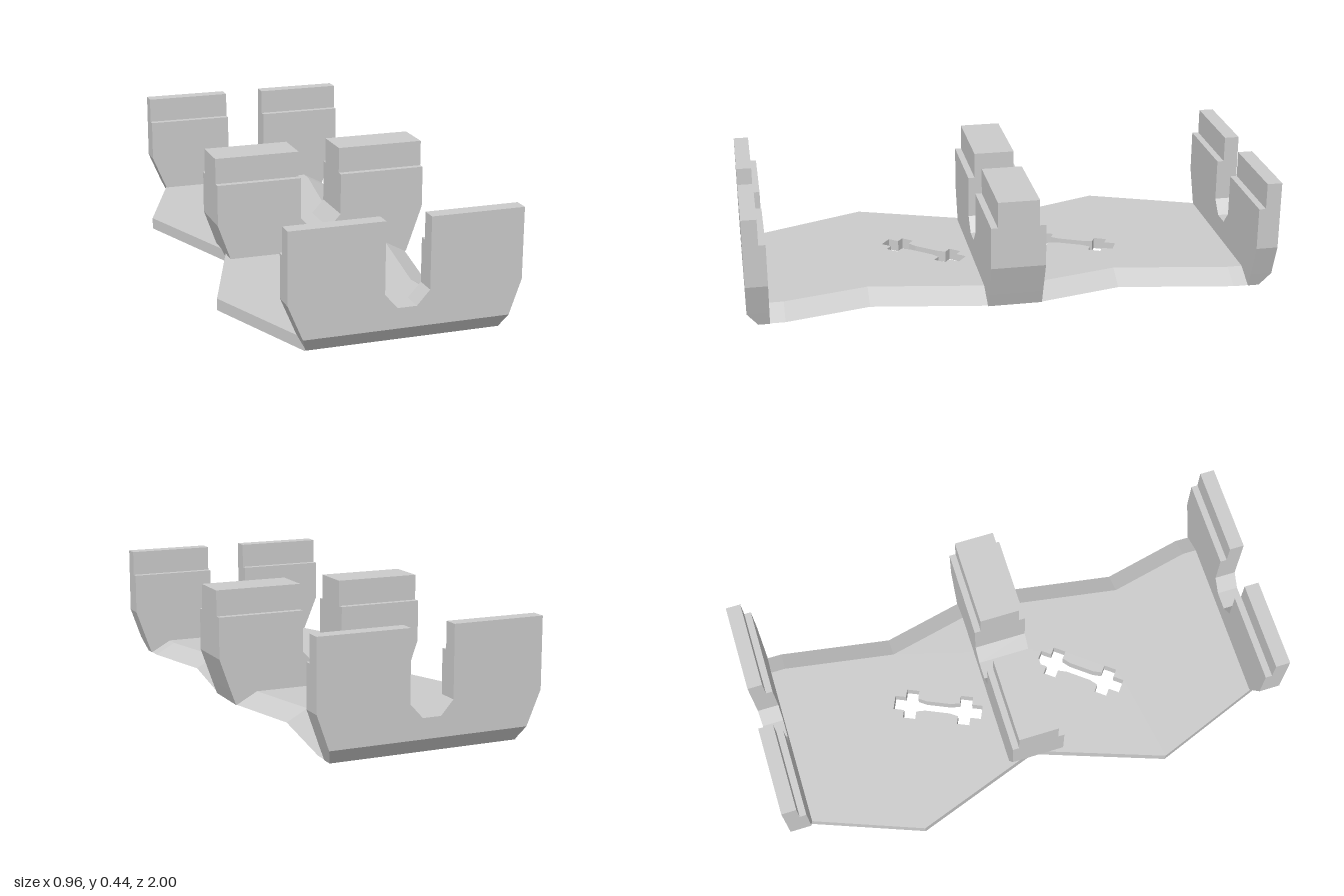
import * as THREE from 'three';

const material = new THREE.MeshStandardMaterial({ color: 0xcccccc, flatShading: true });

function polygon(points) {
  return new THREE.Shape(points.map(([x, y]) => new THREE.Vector2(x, y)));
}

function addMesh(group, name, geometry) {
  const mesh = new THREE.Mesh(geometry, material);
  mesh.name = name;
  group.add(mesh);
  return mesh;
}

// Extrude an x/y outline between two z positions
function slab(points, z0, z1) {
  const geometry = new THREE.ExtrudeGeometry(polygon(points), { depth: z1 - z0, bevelEnabled: false });
  return geometry.translate(0, 0, z0);
}

// Move vertices by a rule and refresh the flat normals
function reshape(geometry, rule) {
  const pos = geometry.attributes.position;
  const v = new THREE.Vector3();
  for (let i = 0; i < pos.count; i++) {
    rule(v.fromBufferAttribute(pos, i));
    pos.setXYZ(i, v.x, v.y, v.z);
  }
  geometry.computeVertexNormals();
  return geometry;
}

// Bone-shaped cutout: a shaft with a crossbar near each end
function boneHole(cx, cz, dx, dz) {
  const side = [[0.028, 0.178], [0.028, 0.135], [0.06, 0.135], [0.06, 0.085], [0.028, 0.085], [0.02, 0.05]];
  const right = [...side, ...side.map(([w, l]) => [w, -l]).reverse()];
  const outline = [...right, ...right.map(([w, l]) => [-w, l]).reverse()];
  const len = Math.hypot(dx, dz);
  const ux = dx / len, uy = -dz / len;
  return new THREE.Path(outline.map(([w, l]) =>
    new THREE.Vector2(cx + ux * l + uy * w, -cz + uy * l - ux * w)));
}

// Base plate with zigzag sides, sloping on the +x side
function basePlate() {
  const outline = [
    [-0.305, 0.96], [0.412, 0.96], [0.412, 0.86], [0.34, 0.54], [0.412, 0.09],
    [0.412, -0.1], [0.34, -0.42], [0.412, -0.86], [0.412, -0.96], [-0.305, -0.96],
    [-0.482, -0.5], [-0.305, 0], [-0.482, 0.5],
  ];
  const shape = polygon(outline.map(([x, z]) => [x, -z]));
  shape.holes.push(boneHole(-0.016, -0.31, 28, -62), boneHole(-0.04, 0.285, 41, -52));
  const geometry = new THREE.ExtrudeGeometry(shape, { depth: 0.045, bevelEnabled: false });
  geometry.rotateX(-Math.PI / 2);
  return reshape(geometry, (v) => {
    if (v.y > 0.02 && v.x > 0.3) v.x -= 0.083;
  });
}

// Notched upright: foot, body and two narrower top blocks.
// body and top are z ranges, foot is the z range at the ground.
function upright(name, left, body, top, foot) {
  const group = new THREE.Group();
  group.name = name;
  const step = 0.345, height = 0.445, footTop = 0.055;
  const footLeft = -0.3 + (left + 0.3) * 0.3, footRight = 0.435;

  const footGeometry = slab([[-0.3, 0], [0.415, 0], [footRight, footTop], [footLeft, footTop]], ...body);
  addMesh(group, 'foot', reshape(footGeometry, (v) => {
    if (v.y < 0.01) v.z = Math.min(Math.max(v.z, foot[0]), foot[1]);
  }));

  addMesh(group, 'notchedBody', slab([
    [footLeft, footTop], [footRight, footTop], [0.48, 0.183], [0.48, step], [0.135, step],
    [0.135, 0.183], [0.087, 0.13], [0.017, 0.13], [-0.03, 0.183], [-0.03, step],
    [left, step], [left, 0.183],
  ], ...body));

  for (const [x0, x1] of [[left, -0.03], [0.135, 0.48]]) {
    const block = slab([[x0, step], [x1, step], [x1, height], [x0, height]], ...body);
    // Slim the block to the top range, leaving a ledge on the body
    addMesh(group, 'topBlock', reshape(block, (v) => {
      v.z = Math.min(Math.max(v.z, top[0]), top[1]);
    }));
  }
  return group;
}

export function createModel() {
  const model = new THREE.Group();
  model.name = 'cradle';
  addMesh(model, 'basePlate', basePlate());
  model.add(
    upright('frontUpright', -0.377, [0.917, 1], [0.943, 1], [0.917, 0.96]),
    upright('middleUpright', -0.365, [-0.103, 0.103], [-0.078, 0.078], [-0.103, 0.103]),
    upright('backUpright', -0.377, [-1, -0.917], [-1, -0.943], [-0.96, -0.917]),
  );
  return model;
}
